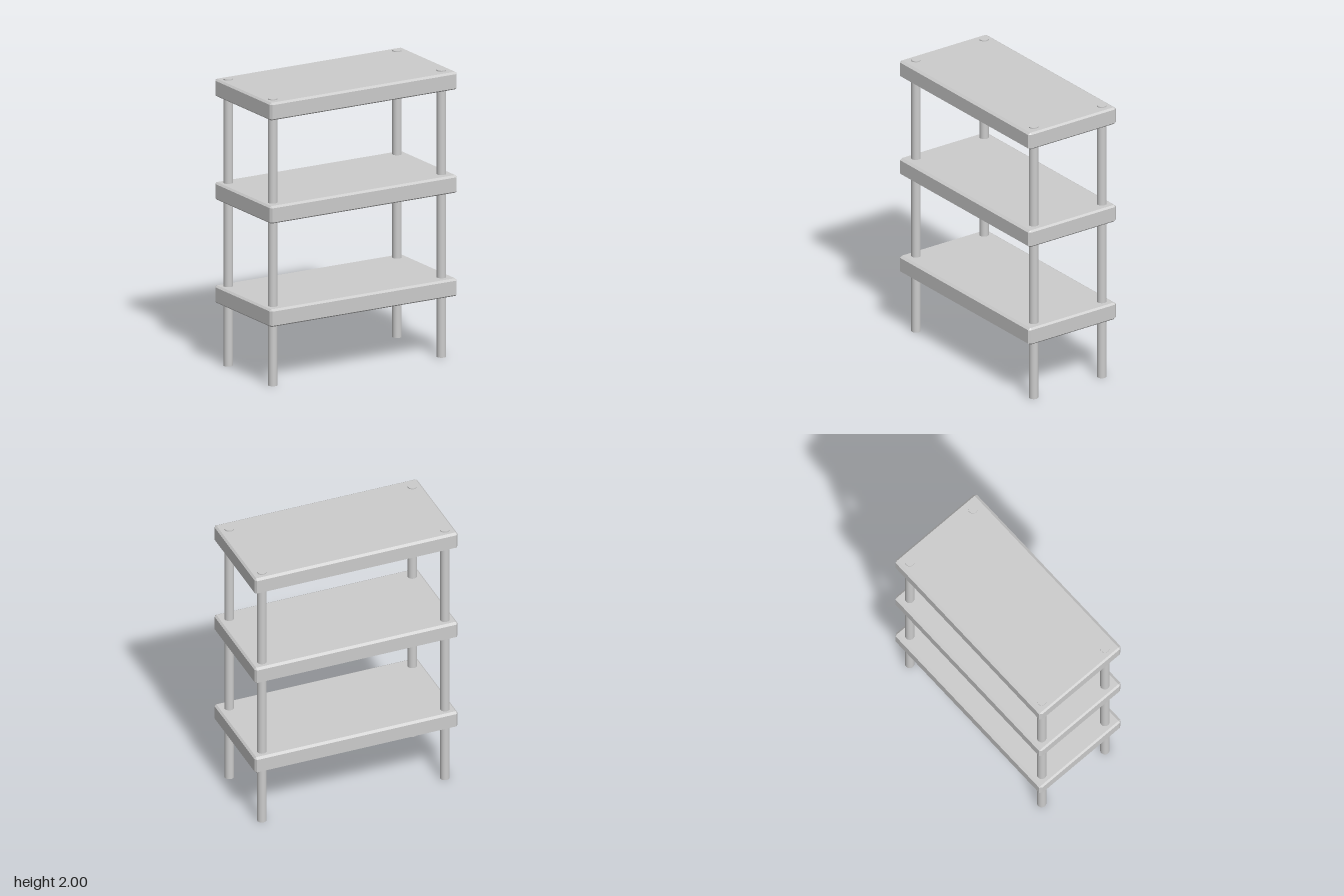
import * as THREE from 'three';
import { ConvexGeometry } from 'three/addons/geometries/ConvexGeometry.js';

const material = new THREE.MeshStandardMaterial({ color: 0xcccccc });

// Box with flat chamfers on every edge: each corner becomes three points
function chamferedBox(half, bevel) {
  const points = [];
  for (const sx of [-1, 1]) for (const sy of [-1, 1]) for (const sz of [-1, 1]) {
    const sign = new THREE.Vector3(sx, sy, sz);
    for (const axis of ['x', 'y', 'z']) {
      const p = half.clone().sub(bevel);
      p[axis] = half[axis];
      points.push(p.multiply(sign));
    }
  }
  return new ConvexGeometry(points);
}

export function createModel() {
  const group = new THREE.Group();
  group.name = 'shelfUnit';

  // Three identical boards
  const boardGeometry = chamferedBox(
    new THREE.Vector3(0.737, 0.0615, 0.365),
    new THREE.Vector3(0.013, 0.012, 0.019)
  );
  ['lowerShelf', 'middleShelf', 'topShelf'].forEach((name, i) => {
    const board = new THREE.Mesh(boardGeometry, material);
    board.name = name;
    board.position.y = 0.492 + i * 0.7195;
    group.add(board);
  });

  // Four round posts running through all boards, slightly proud of the top
  const postGeometry = new THREE.CylinderGeometry(0.032, 0.032, 2, 32);
  for (const [side, x] of [['Right', -0.668], ['Left', 0.661]]) {
    for (const [end, z] of [['front', 0.274], ['back', -0.293]]) {
      const post = new THREE.Mesh(postGeometry, material);
      post.name = `${end}${side}Post`;
      post.position.set(x, 1, z);
      group.add(post);
    }
  }
  return group;
}
